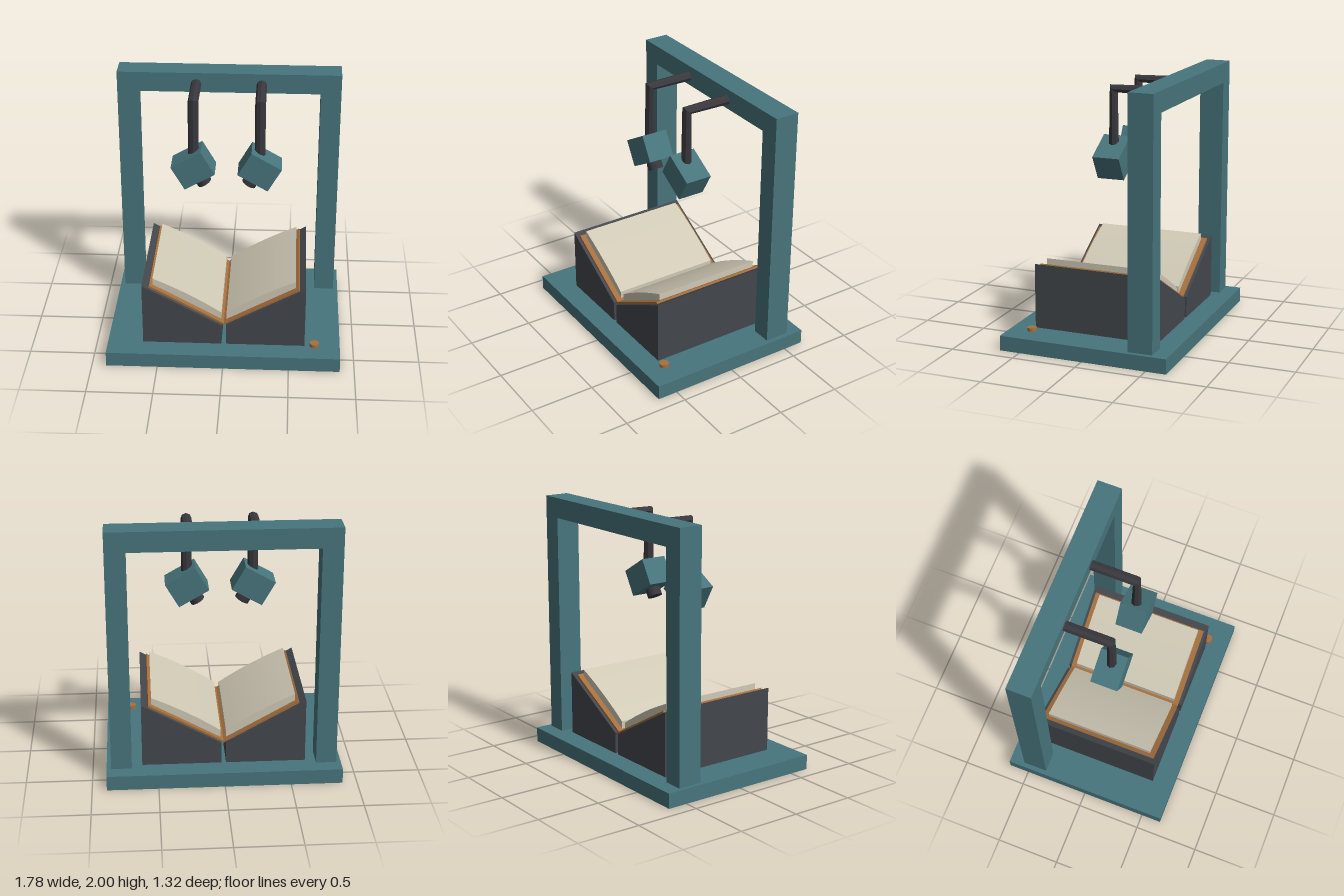
import * as THREE from 'three';
import { toCreasedNormals } from 'three/addons/utils/BufferGeometryUtils.js';

const paint = (name, color) => {
  const m = new THREE.MeshStandardMaterial({ color });
  m.name = name;
  return m;
};

export function createModel() {
  const teal = paint('teal', 0x47757c);
  const charcoal = paint('charcoal', 0x43474c);
  const black = paint('black', 0x38383d);
  const paper = paint('paper', 0xcfc9b5);
  const leather = paint('leather', 0xa5703f);

  const model = new THREE.Group();
  model.name = 'bookScanner';

  const add = (name, geometry, material, x = 0, y = 0, z = 0, parent = model) => {
    const mesh = new THREE.Mesh(geometry, material);
    mesh.name = name;
    mesh.position.set(x, y, z);
    parent.add(mesh);
    return mesh;
  };
  const box = (w, h, d) => new THREE.BoxGeometry(w, h, d);

  // Extrudes a front-facing outline symmetrically along z
  const slab = (shape, depth) => {
    const g = new THREE.ExtrudeGeometry(shape, { depth, bevelEnabled: false, curveSegments: 10 });
    g.translate(0, 0, -depth / 2);
    return toCreasedNormals(g, 0.5);
  };
  const outline = (points) => new THREE.Shape(points.map(([x, y]) => new THREE.Vector2(x, y)));

  // Base and gantry frame
  add('base', box(1.78, 0.115, 1.315), teal, 0, 0.0575, 0);
  add('topBeam', box(1.71, 0.155, 0.19), teal, 0, 1.9225, -0.445);

  // Book cover: one V-shaped sheet
  add('bookCover', slab(outline([
    [0, 0.273], [0.572, 0.591], [0.565, 0.606], [0, 0.289], [-0.565, 0.606], [-0.572, 0.591],
  ]), 0.935), leather);

  for (const s of [1, -1]) {
    const side = s > 0 ? 'left' : 'right';
    add(side + 'Post', box(0.155, 1.73, 0.19), teal, s * 0.7775, 0.98, -0.445);

    // Wedge of the cradle
    add(side + 'Cradle', slab(outline([
      [s * 0.017, 0.115], [s * 0.62, 0.115], [s * 0.62, 0.615], [s * 0.017, 0.28],
    ]), 0.98), charcoal);

    // Page block with a gently bowed top
    const pages = new THREE.Shape();
    pages.moveTo(s * 0.02, 0.295);
    pages.lineTo(s * 0.542, 0.59);
    pages.lineTo(s * 0.542, 0.645);
    pages.quadraticCurveTo(s * 0.27, 0.527, s * 0.02, 0.357);
    pages.closePath();
    add(side + 'Pages', slab(pages, 0.85), paper);

    // Bent arm with a mitred corner
    const corner = new THREE.Vector3(0, 1.914, 0);
    const path = new THREE.CurvePath();
    path.add(new THREE.LineCurve3(new THREE.Vector3(0, 1.914, -0.44), corner));
    path.add(new THREE.LineCurve3(corner, new THREE.Vector3(0, 1.474, 0)));
    const tube = new THREE.TubeGeometry(path, 2, 0.04, 8);
    add(side + 'Arm', toCreasedNormals(tube, 0.5), black, s * 0.25, 0, 0);

    // Camera head tilted towards the opposite page
    const head = new THREE.Group();
    head.name = side + 'Camera';
    head.position.set(s * 0.251, 1.397, 0);
    head.rotation.z = -s * Math.PI / 6;
    model.add(head);
    add('cameraBody', box(0.262, 0.208, 0.21), teal, 0, 0, 0, head);
    add('cameraLens', new THREE.CylinderGeometry(0.057, 0.057, 0.1, 16), black, 0, -0.117, 0, head);
  }

  // Push button on the base
  add('button', new THREE.CylinderGeometry(0.036, 0.036, 0.03, 16), leather, 0.695, 0.127, 0.485);

  return model;
}
